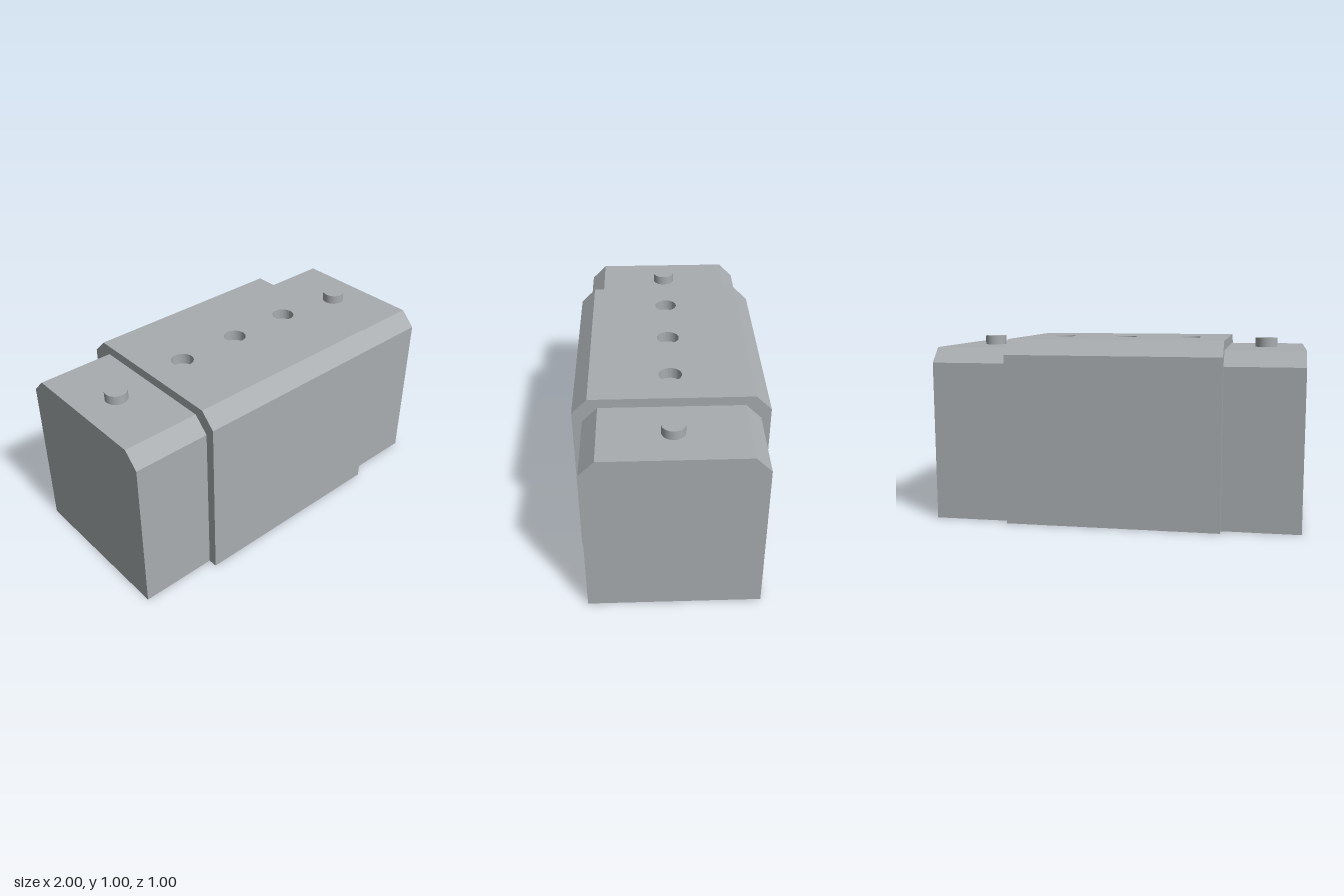
import * as THREE from 'three';
import { toCreasedNormals } from 'three/addons/utils/BufferGeometryUtils.js';

const CHAMFER = 0.08, RADIUS = 0.06, HOLE_DEPTH = 0.06, HALF_MIDDLE = 0.58;

// Chamfered block running along x; an optional slot is cut along its top
function chamferedBlock(length, halfDepth, height, slot) {
  const inner = halfDepth - CHAMFER, shoulder = height - CHAMFER;
  const pts = [[-halfDepth, 0], [halfDepth, 0], [halfDepth, shoulder], [inner, height]];
  if (slot) {
    const floor = height - slot.depth;
    pts.push([slot.half, height], [slot.half, floor], [-slot.half, floor], [-slot.half, height]);
  }
  pts.push([-inner, height], [-halfDepth, shoulder]);
  const shape = new THREE.Shape(pts.map(([z, y]) => new THREE.Vector2(z, y)));
  const geometry = new THREE.ExtrudeGeometry(shape, { depth: length, bevelEnabled: false });
  return geometry.translate(0, 0, -length / 2).rotateY(Math.PI / 2);
}

// Plate with round holes that fills the slot of the middle block
function socketStrip(half) {
  const w = HALF_MIDDLE;
  const shape = new THREE.Shape([[-w, -half], [w, -half], [w, half], [-w, half]]
    .map(([x, y]) => new THREE.Vector2(x, y)));
  for (const x of [-0.367, 0, 0.367]) {
    shape.holes.push(new THREE.Path().absarc(x, 0, RADIUS, 0, Math.PI * 2, true));
  }
  const geometry = new THREE.ExtrudeGeometry(shape, {
    depth: HOLE_DEPTH, bevelEnabled: false, curveSegments: 32,
  }).rotateX(-Math.PI / 2);
  return toCreasedNormals(geometry, 0.6);
}

export function createModel() {
  const group = new THREE.Group();
  group.name = 'pinnedBlock';
  const metal = new THREE.MeshStandardMaterial({ color: 0xa9adb0 });
  metal.name = 'metalGrey';

  const add = (name, geometry, x = 0, y = 0) => {
    const mesh = new THREE.Mesh(geometry, metal);
    mesh.name = name;
    mesh.position.set(x, y, 0);
    group.add(mesh);
  };

  // Middle block with three blind sockets in its top
  const slotHalf = 0.12;
  add('middleBlock', chamferedBlock(2 * HALF_MIDDLE, 0.5, 1, { half: slotHalf, depth: HOLE_DEPTH }));
  add('socketStrip', socketStrip(slotHalf), 0, 1 - HOLE_DEPTH);

  // Smaller end blocks, each with a short pin
  for (const [side, s] of [['left', 1], ['right', -1]]) {
    add(side + 'EndBlock', chamferedBlock(1 - HALF_MIDDLE, 0.45, 0.95), s * (1 + HALF_MIDDLE) / 2);
    add(side + 'Pin', new THREE.CylinderGeometry(RADIUS, RADIUS, 0.05, 32), s * 0.79, 0.975);
  }
  return group;
}
